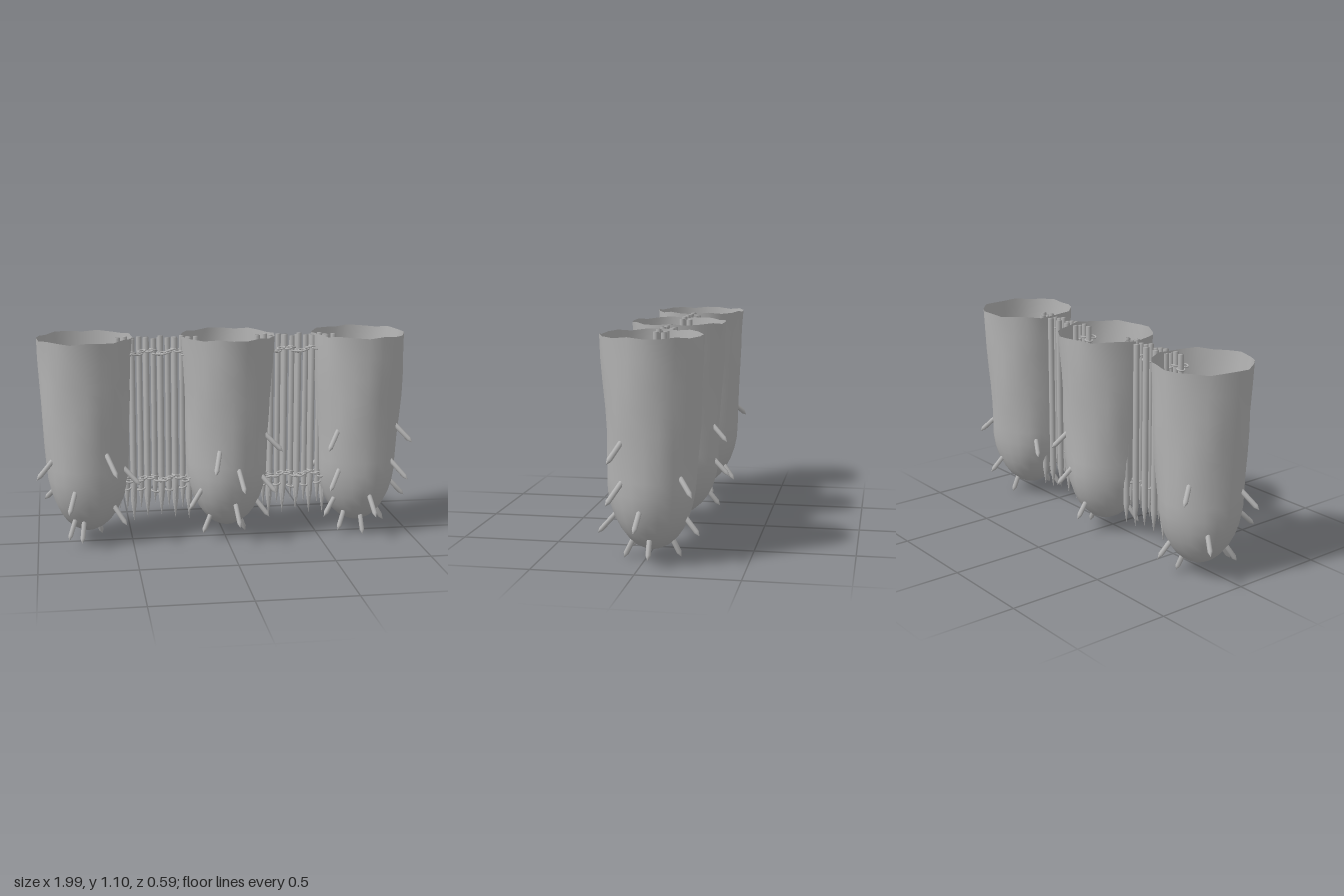
import * as THREE from 'three';
import { mergeVertices } from 'three/addons/utils/BufferGeometryUtils.js';

const grey = new THREE.MeshStandardMaterial({ color: 0xb4b4b4, side: THREE.DoubleSide });
grey.name = 'grey';

const UP = new THREE.Vector3(0, 1, 0);
const BOTTOM = 0.06, SHOULDER = 0.42, TOP = 1.1, CENTRE_Z = -0.037, BELLY = 0.215;

function add(parent, name, geometry) {
  const mesh = new THREE.Mesh(geometry, grey);
  mesh.name = name;
  parent.add(mesh);
  return mesh;
}

// Pouch radius: half ellipse below the shoulder, gentle flare above it
function pouchRadius(y) {
  if (y > SHOULDER) return BELLY + 0.032 * (y - SHOULDER) / (TOP - SHOULDER);
  const t = (SHOULDER - y) / (SHOULDER - BOTTOM);
  return BELLY * Math.sqrt(Math.max(0, 1 - t * t));
}

// Open, slightly uneven pouch with a rounded bottom
function pouchGeometry(seed) {
  const profile = [];
  for (let i = 0; i <= 8; i++) {
    const y = SHOULDER - (SHOULDER - BOTTOM) * Math.cos(i / 8 * Math.PI / 2);
    profile.push(new THREE.Vector2(pouchRadius(y), y));
  }
  for (let i = 1; i <= 6; i++) {
    const y = SHOULDER + (TOP - SHOULDER) * i / 6;
    profile.push(new THREE.Vector2(pouchRadius(y), y));
  }
  let geo = new THREE.LatheGeometry(profile, 20);
  geo.deleteAttribute('uv');
  geo.deleteAttribute('normal');
  geo = mergeVertices(geo);
  const p = geo.attributes.position;
  for (let i = 0; i < p.count; i++) {
    const x = p.getX(i), y = p.getY(i), z = p.getZ(i);
    const a = Math.atan2(x, z);
    const k = 1 + 0.018 * Math.sin(3 * a + 7 * y + seed) + 0.014 * Math.sin(5 * a - 11 * y + 2 * seed);
    const rim = y > TOP - 0.01 ? 0.005 * Math.sin(7 * a + seed) - 0.005 : 0;
    p.setXYZ(i, x * k, y + rim, z * k);
  }
  geo.computeVertexNormals();
  return geo;
}

// Pointed rod piercing the shell, leaning outward and down, steeper near the bottom
function spike(parent, degrees, y) {
  const a = THREE.MathUtils.degToRad(degrees);
  const r = pouchRadius(y), share = r / BELLY;
  const dir = new THREE.Vector3(Math.sin(a) * 0.85 * share, -0.8, Math.cos(a) * 0.85 * share).normalize();
  const inside = 0.05;
  const length = inside + 0.075 + (0.03 + 0.03 * Math.max(0, Math.cos(a))) * share;
  const geo = new THREE.LatheGeometry([
    new THREE.Vector2(0, 0), new THREE.Vector2(0.013, 0.003),
    new THREE.Vector2(0.013, length - 0.026), new THREE.Vector2(0, length),
  ], 8);
  const mesh = add(parent, 'spike', geo);
  mesh.position.set(Math.sin(a) * r, y, Math.cos(a) * r).addScaledVector(dir, -inside);
  mesh.quaternion.setFromUnitVectors(UP, dir);
}

// Spikes: angle around the pouch from the front, and height on the shell
const pouches = [
  { name: 'rightPouch', x: -0.73, seed: 1, spikes: [
    [-61, 0.46], [-120, 0.27], [-147, 0.53], [-21, 0.31], [-34, 0.14], [-13, 0.13],
    [138, 0.085], [54, 0.2], [27, 0.5], [63, 0.41], [162, 0.18],
  ] },
  { name: 'middlePouch', x: 0.015, seed: 3.4, spikes: [
    [-18, 0.5], [10, 0.4], [67, 0.56], [-52, 0.28], [-52, 0.13], [9, 0.2],
    [104, 0.085], [65, 0.2], [55, 0.35], [157, 0.55], [167, 0.36], [188, 0.18],
  ] },
  { name: 'leftPouch', x: 0.725, seed: 5.2, spikes: [
    [-40, 0.59], [58, 0.6], [54, 0.4], [81, 0.27], [-39, 0.37], [-116, 0.37], [-56, 0.2],
    [-44, 0.12], [6, 0.1], [12, 0.23], [92, 0.12], [139, 0.43], [165, 0.22], [183, 0.1],
  ] },
];

// Upright rod sharpened at its lower end
function stake(parent, x, z, top, tip, r) {
  const geo = new THREE.LatheGeometry([
    new THREE.Vector2(0, tip), new THREE.Vector2(r, tip + 0.12),
    new THREE.Vector2(r * 0.95, top), new THREE.Vector2(0, top),
  ], 8);
  add(parent, 'stake', geo).position.set(x, 0, z);
}

// Palisade of stakes lashed together with rope rings
function palisade(name, x0, x1) {
  const g = new THREE.Group();
  g.name = name;
  const count = 12, step = (x1 - x0) / (count - 1);
  const ring = new THREE.TorusGeometry(0.019, 0.0045, 6, 14);
  for (let i = 0; i < count; i++) {
    const x = x0 + i * step;
    const wobble = Math.sin(i * 2.3);
    stake(g, x, -0.025, 1.09 + 0.008 * wobble, 0.17 + 0.02 * Math.sin(i * 4.1), 0.015);
    if (i % 2 === 0 && i > 0) stake(g, x, -0.058, 1.085, 0.1 + 0.015 * wobble, 0.017);
    // Upper and lower lashing, each a chain of two ring rows
    for (const y of [1.015, 0.335]) {
      for (const row of [0, 1]) {
        const loop = add(g, 'ropeRing', ring);
        loop.position.set(x + row * step * 0.3, y + 0.012 * Math.sin(i * 1.7 + row * 2), -0.025 + row * 0.033);
        loop.rotation.set(Math.PI / 2 + 0.2 * wobble, 0.25 * Math.cos(i * 1.9), 0);
      }
    }
    // Loose loops under the lower lashing
    if (i % 2) {
      const loop = add(g, 'ropeRing', ring);
      loop.position.set(x, 0.27 + 0.01 * wobble, -0.02);
      loop.rotation.set(Math.PI / 2, 0.3 * wobble, 0);
    }
  }
  return g;
}

export function createModel() {
  const model = new THREE.Group();
  model.name = 'spikedPouchRow';
  for (const { name, x, seed, spikes } of pouches) {
    const g = new THREE.Group();
    g.name = name;
    g.position.set(x, 0, CENTRE_Z);
    add(g, 'shell', pouchGeometry(seed));
    for (const [degrees, y] of spikes) spike(g, degrees, y);
    model.add(g);
  }
  model.add(palisade('rightPalisade', -0.56, -0.15));
  model.add(palisade('leftPalisade', 0.175, 0.585));
  return model;
}
